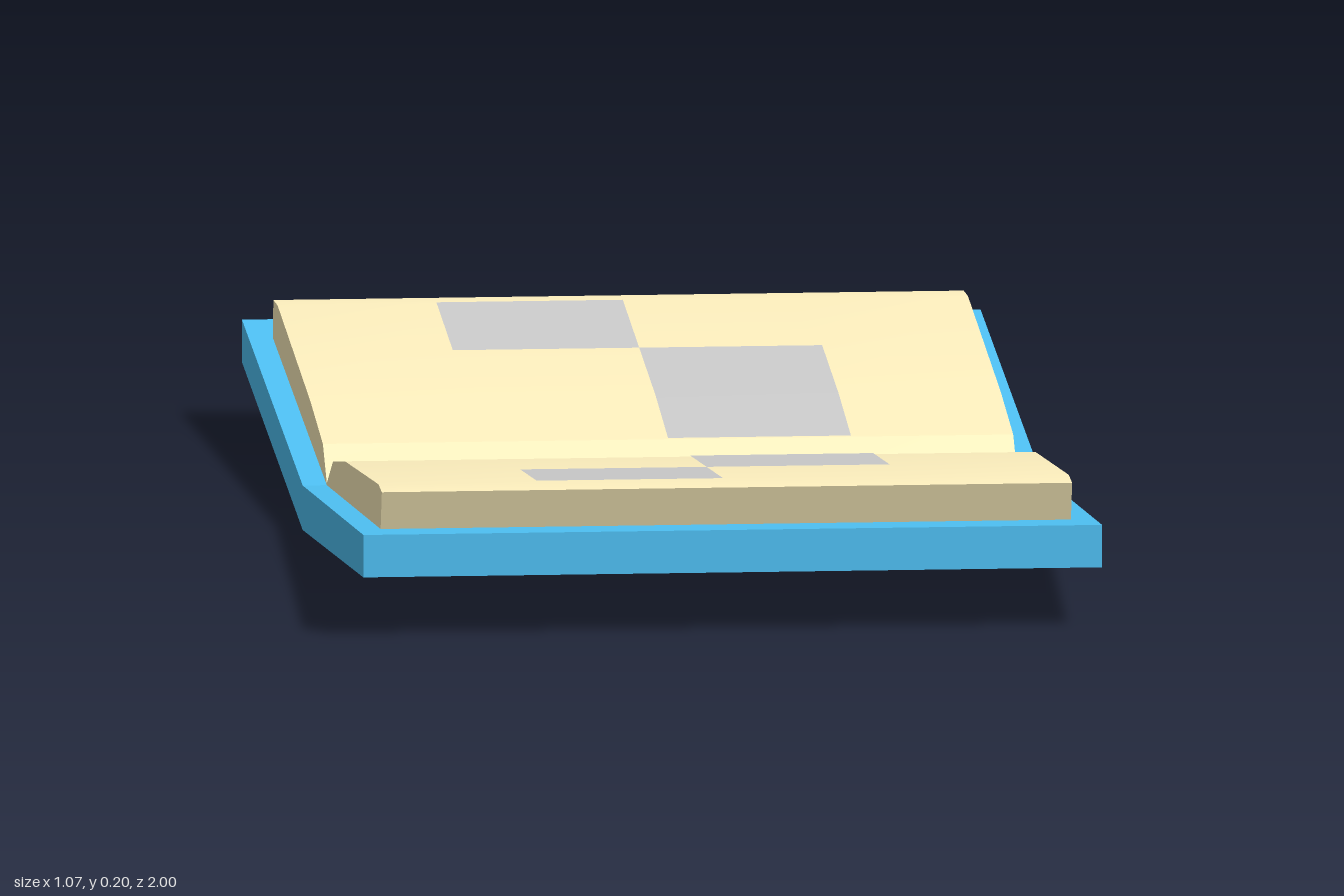
import * as THREE from 'three';
import { toCreasedNormals } from 'three/addons/utils/BufferGeometryUtils.js';

const blue = new THREE.MeshStandardMaterial({ color: 0x4fc3f7 });
const cream = new THREE.MeshStandardMaterial({ color: 0xfff1bf });
const grey = new THREE.MeshStandardMaterial({ color: 0xcccccc, side: THREE.DoubleSide });

// Upper page outlines as [z, y], from the outer edge to the gutter
const frontTop = [[0.905, 0.197], [0.85, 0.2], [0.3, 0.147], [0.1, 0.115], [0, 0.068]];
const backTop = [[-0.88, 0.197], [-0.81, 0.2], [-0.27, 0.145], [-0.065, 0.115], [0, 0.068]];

// Extrudes a [z, y] outline across x, centred
function extrudeAcross(points, width, steps = 1) {
  const shape = new THREE.Shape(points.map(([z, y]) => new THREE.Vector2(z, y)));
  const geo = new THREE.ExtrudeGeometry(shape, { depth: width, steps, bevelEnabled: false });
  return geo.translate(0, 0, -width / 2).rotateY(-Math.PI / 2);
}

// Height of a page outline at depth z
function heightAt(top, z) {
  for (let i = 0; i < top.length - 1; i++) {
    const [z0, y0] = top[i], [z1, y1] = top[i + 1];
    if ((z - z0) * (z - z1) <= 0) return y0 + (y1 - y0) * (z - z0) / (z1 - z0);
  }
  return top[0][1];
}

export function createModel() {
  const group = new THREE.Group();
  const add = (name, geo, material) => {
    const mesh = new THREE.Mesh(geo, material);
    mesh.name = name;
    group.add(mesh);
  };

  // Cover: a shallow V-shaped board
  add('cover', extrudeAcross(
    [[0, 0], [1, 0.088], [1, 0.15], [0, 0.065], [-1, 0.15], [-1, 0.088]], 1.07), blue);

  // Page blocks resting on the cover
  const addPages = (name, top, outerBottom, bulge) => {
    const geo = extrudeAcross([...top, [0, 0.064], outerBottom], 1, 4);
    // Gutter edge bows forward in the middle
    const p = geo.attributes.position;
    for (let i = 0; i < p.count; i++) {
      if (Math.abs(p.getZ(i)) < 0.001 && Math.abs(p.getX(i)) < 0.4) p.setZ(i, bulge);
    }
    add(name, toCreasedNormals(geo, 0.2), cream);
  };
  addPages('frontPages', frontTop, [0.885, 0.139], 0);
  addPages('backPages', backTop, [-0.89, 0.139], 0.01);

  // Printed squares following the page surface
  const patches = [
    ['frontInnerPatch', frontTop, 0, 0.265, 0.3, 0.57],
    ['frontOuterPatch', frontTop, -0.27, 0, 0.57, 0.84],
    ['backOuterPatch', backTop, -0.27, 0, -0.81, -0.54],
    ['backInnerPatch', backTop, 0, 0.265, -0.54, -0.066],
  ];
  for (const [name, top, x0, x1, z0, z1] of patches) {
    const geo = new THREE.PlaneGeometry(x1 - x0, z1 - z0, 1, 16);
    geo.rotateX(-Math.PI / 2).translate((x0 + x1) / 2, 0, (z0 + z1) / 2);
    const p = geo.attributes.position;
    for (let i = 0; i < p.count; i++) p.setY(i, heightAt(top, p.getZ(i)) + 0.0015);
    geo.computeVertexNormals();
    add(name, geo, grey);
  }
  return group;
}
